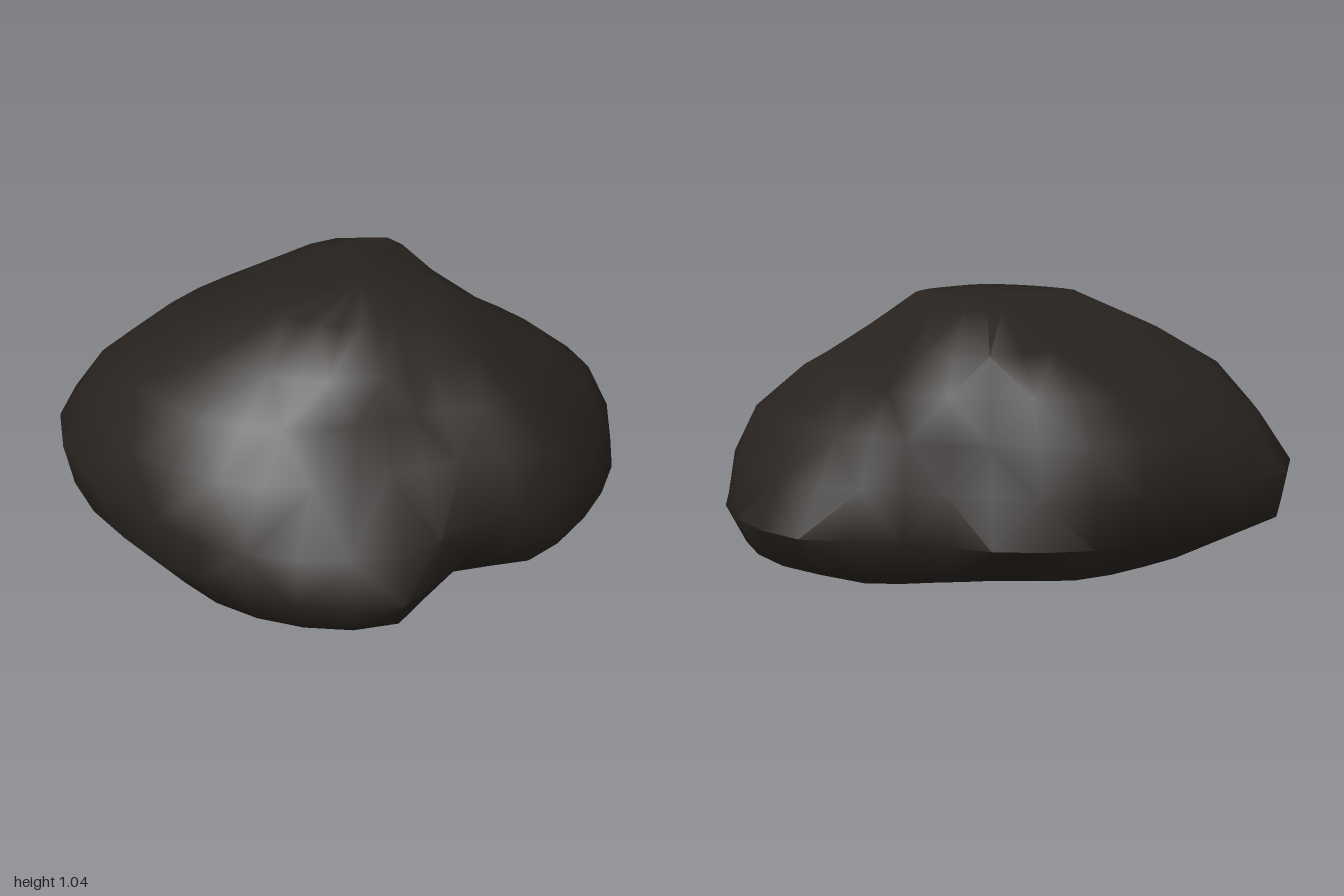
import * as THREE from 'three';
import { toCreasedNormals } from 'three/addons/utils/BufferGeometryUtils.js';

// Horizontal cross-sections, bottom to top: height, then the radius every
// 22.5 degrees, turning from +x towards +z around the axis at x = CENTRE_X.
const CENTRE_X = 0.1;
const SECTIONS = [
  { y: 0.015, r: [0.6, 0.46, 0.6, 0.66, 0.65, 0.62, 0.6, 0.6, 0.5, 0.45, 0.45, 0.5, 0.65, 0.7, 0.75, 0.68] },
  { y: 0.1, r: [0.77, 0.62, 0.84, 0.88, 0.89, 0.88, 0.89, 0.87, 0.8, 0.78, 0.7, 0.7, 0.87, 0.93, 0.94, 0.86] },
  { y: 0.25, r: [0.88, 0.74, 0.94, 0.96, 0.97, 1.02, 1.12, 1.16, 0.96, 0.93, 0.86, 0.8, 0.96, 1.01, 1.01, 0.94] },
  { y: 0.42, r: [0.87, 0.78, 0.88, 0.93, 0.97, 1.02, 1.15, 1.19, 1.0, 0.93, 0.81, 0.78, 0.87, 0.94, 0.98, 0.9] },
  { y: 0.6, r: [0.82, 0.66, 0.64, 0.73, 0.86, 0.96, 1.05, 1.06, 0.98, 0.88, 0.76, 0.75, 0.77, 0.83, 0.89, 0.81] },
  { y: 0.76, r: [0.68, 0.56, 0.54, 0.61, 0.72, 0.83, 0.91, 0.86, 0.82, 0.8, 0.72, 0.72, 0.61, 0.63, 0.7, 0.65] },
  { y: 0.9, r: [0.5, 0.46, 0.48, 0.52, 0.56, 0.63, 0.67, 0.6, 0.56, 0.6, 0.67, 0.6, 0.46, 0.41, 0.45, 0.47] },
  { y: 1.025, r: [0.3, 0.31, 0.35, 0.35, 0.36, 0.39, 0.36, 0.28, 0.25, 0.29, 0.37, 0.41, 0.32, 0.26, 0.27, 0.29] },
];
const SIDES = 32;

// Rounds one section into a closed ring of SIDES points
function ring({ y, r }) {
  const points = r.map((radius, k) => {
    const a = (k / r.length) * Math.PI * 2;
    return new THREE.Vector3(CENTRE_X + radius * Math.cos(a), y, radius * Math.sin(a));
  });
  const curve = new THREE.CatmullRomCurve3(points, true);
  return Array.from({ length: SIDES }, (_, k) => curve.getPoint(k / SIDES));
}

// Skins the rings and closes both ends with a fan
function skin(sections, bottomY, topY) {
  const points = sections.flatMap(ring);
  const bottom = points.push(new THREE.Vector3(CENTRE_X, bottomY, 0)) - 1;
  const top = points.push(new THREE.Vector3(CENTRE_X, topY, 0)) - 1;
  const index = [];
  const last = (sections.length - 1) * SIDES;
  for (let j = 0; j < SIDES; j++) {
    const next = (j + 1) % SIDES;
    index.push(bottom, j, next, top, last + next, last + j);
    for (let row = 0; row < last; row += SIDES) {
      const a = row + j, b = row + next, c = a + SIDES, d = b + SIDES;
      // alternate the diagonal for irregular facets
      if ((j + row / SIDES) % 2) index.push(a, c, b, b, c, d);
      else index.push(a, c, d, a, d, b);
    }
  }
  const geometry = new THREE.BufferGeometry().setFromPoints(points);
  geometry.setIndex(index);
  return toCreasedNormals(geometry, 0.9);
}

export function createModel() {
  const group = new THREE.Group();
  group.name = 'rock';

  // Weathered boulder: steep back, sloping front, a gully at its front left
  const stone = new THREE.MeshStandardMaterial({ color: 0x28231f });
  const boulder = new THREE.Mesh(skin(SECTIONS, 0, 1.04), stone);
  boulder.name = 'boulder';
  group.add(boulder);

  return group;
}
